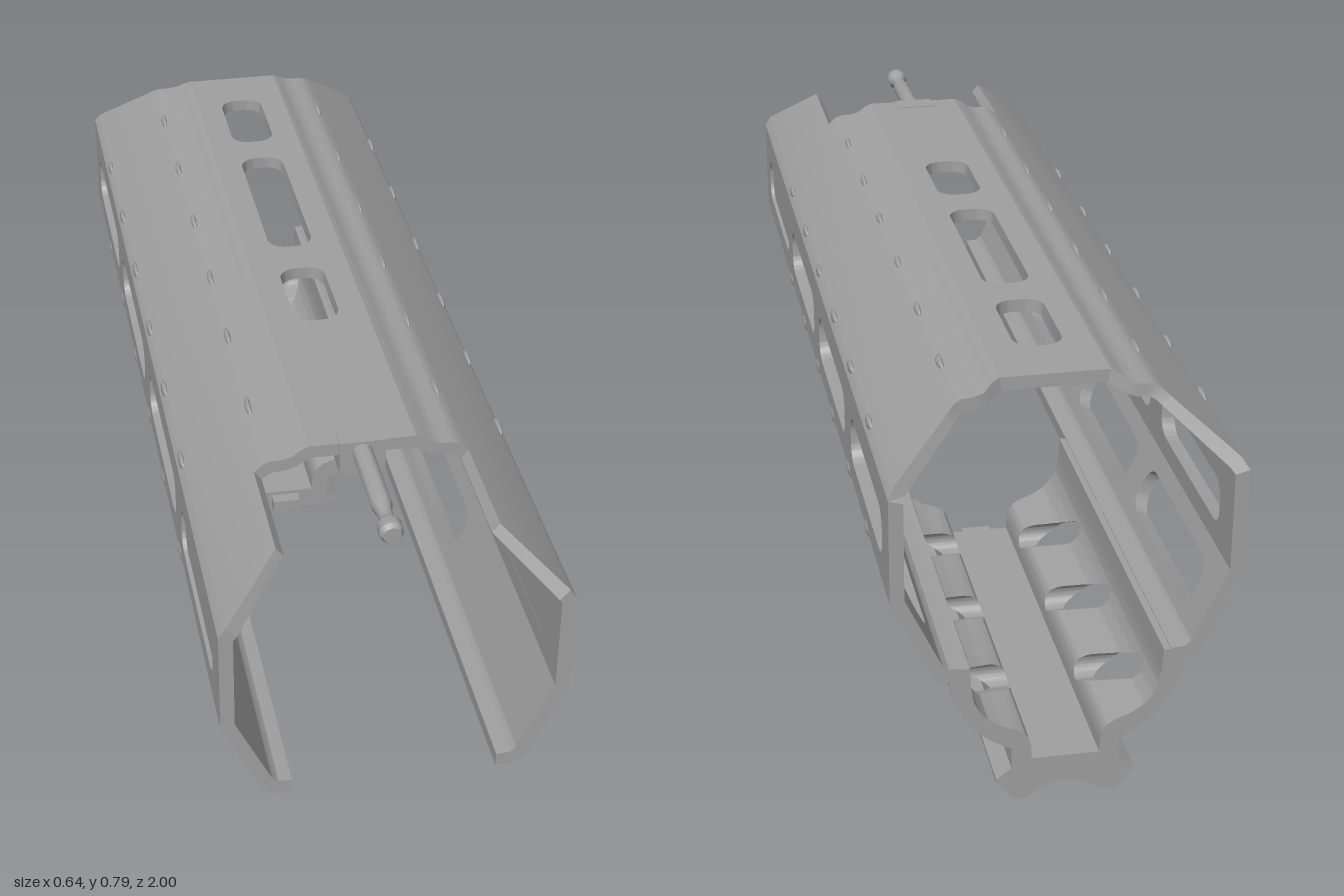
import * as THREE from 'three';
import { mergeGeometries, toCreasedNormals } from 'three/addons/utils/BufferGeometryUtils.js';

const lerp = THREE.MathUtils.lerp;

// Rounded slot outline in (z, s) panel coordinates
function slotPath(z0, z1, s0, s1) {
  const r = Math.min(0.036, (s1 - s0) / 2.2), h = Math.PI / 2;
  const p = new THREE.Path();
  p.absarc(z1 - r, s1 - r, r, 0, h);
  p.absarc(z0 + r, s1 - r, r, h, 2 * h);
  p.absarc(z0 + r, s0 + r, r, 2 * h, 3 * h);
  p.absarc(z1 - r, s0 + r, r, 3 * h, 4 * h);
  p.closePath();
  return p;
}

// Wall strip between two section points [outerX, outerY, innerX, innerY].
// za and zb are the [back, front] ends at each point; t runs inner 0 to outer 1.
function panel(a, b, za, zb, { slots = [], mirror = false, t0 = 0, t1 = 1 } = {}) {
  const L = Math.hypot(b[0] - a[0], b[1] - a[1]);
  const shape = new THREE.Shape([[za[0], 0], [za[1], 0], [zb[1], L], [zb[0], L]]
    .map(p => new THREE.Vector2(...p)));
  slots.forEach(([z0, z1, s0, s1]) => shape.holes.push(slotPath(z0, z1, s0 * L, s1 * L)));
  const g = new THREE.ExtrudeGeometry(shape, { depth: 1, bevelEnabled: false, curveSegments: 5 });
  const p = g.attributes.position;
  for (let i = 0; i < p.count; i++) {
    const z = p.getX(i), v = p.getY(i) / L, t = lerp(t0, t1, p.getZ(i));
    const x = lerp(lerp(a[2], a[0], t), lerp(b[2], b[0], t), v);
    const y = lerp(lerp(a[3], a[1], t), lerp(b[3], b[1], t), v);
    p.setXYZ(i, mirror ? -x : x, y, z);
  }
  if (mirror) { // restore the corner order
    for (let i = 0; i < p.count; i += 3) {
      const q = [p.getX(i + 1), p.getY(i + 1), p.getZ(i + 1)];
      p.setXYZ(i + 1, p.getX(i + 2), p.getY(i + 2), p.getZ(i + 2));
      p.setXYZ(i + 2, ...q);
    }
  }
  g.deleteAttribute('uv');
  return g;
}

// Solid with a constant section along z
function bar(points, z0, z1) {
  const s = new THREE.Shape(points.map(p => new THREE.Vector2(...p)));
  return new THREE.ExtrudeGeometry(s, { depth: z1 - z0, bevelEnabled: false }).translate(0, 0, z0);
}
const mirrored = half => [...half, ...half.map(([x, y]) => [-x, y]).reverse()];

// Sloped rear end of the upper shell
const back = y => -1 + Math.max(0, y - 0.64) * 0.966;

// Row z-limits of the lower shell at a height, around three slanted slots
function lowerRow(y) {
  const row = [-1];
  for (let k = 2; k >= 0; k--) {
    const A = [-0.285 - k * 0.256, 0.134], B = [-0.385 - k * 0.256, 0.192], r = 0.023;
    let lo = Infinity, hi = -Infinity;
    for (let i = 0; i <= 200; i++) {
      const z = B[0] - 0.04 + i * 0.0009;
      const dz = B[0] - A[0], dy = B[1] - A[1];
      const f = THREE.MathUtils.clamp(((z - A[0]) * dz + (y - A[1]) * dy) / (dz * dz + dy * dy), 0, 1);
      if (Math.hypot(z - A[0] - f * dz, y - A[1] - f * dy) <= r) { lo = Math.min(lo, z); hi = Math.max(hi, z); }
    }
    if (lo > hi) lo = hi = y < 0.16 ? A[0] : B[0];
    row.push(lo, hi);
  }
  return [...row, -0.15];
}

export function createModel() {
  const group = new THREE.Group();
  const metal = new THREE.MeshStandardMaterial({ color: 0xa0a0a0 });
  metal.name = 'grey metal';
  const add = (name, geos, crease = 0.5) => {
    const list = [].concat(geos).map(g => {
      const n = g.index ? g.toNonIndexed() : g;
      n.deleteAttribute('uv');
      n.clearGroups();
      return n;
    });
    const mesh = new THREE.Mesh(toCreasedNormals(mergeGeometries(list), crease), metal);
    mesh.name = name;
    group.add(mesh);
  };

  // Top panel with three slots
  const topEnds = [back(0.785), 0.67];
  add('topPanel', panel([-0.1, 0.785, -0.095, 0.76], [0.1, 0.785, 0.095, 0.76], topEnds, topEnds, {
    slots: [[-0.74, -0.53, 0.27, 0.73], [-0.45, -0.05, 0.27, 0.73], [0.04, 0.245, 0.27, 0.73]],
  }));

  // Section points, from the top edge down to the lower lip
  const shoulder = [[0.1, 0.785, 0.095, 0.76], [0.115, 0.778, 0.11, 0.752], [0.13, 0.766, 0.125, 0.743],
    [0.15, 0.762, 0.143, 0.738], [0.17, 0.761, 0.163, 0.737], [0.183, 0.756, 0.174, 0.733], [0.2, 0.742, 0.186, 0.724]];
  const upper = [shoulder[6], [0.305, 0.657, 0.287, 0.636], [0.318, 0.637, 0.292, 0.63]];
  const side = [upper[2], [0.318, 0.435, 0.292, 0.44]];
  const lower = [side[1], [0.25, 0.29, 0.227, 0.302]];
  const lip = [lower[1], [0.24, 0.273, 0.222, 0.296], [0.225, 0.264, 0.214, 0.291], [0.19, 0.262, 0.19, 0.29]];

  const long = [[-0.92, -0.525], [-0.44, -0.045], [0.04, 0.44]];
  const rows = (zs, s0, s1) => zs.map(([a, b]) => [a, b, s0, s1]);

  // Lower shell heights: [y, outerX, innerX]
  const shell = [[0.288, 0.215, 0.177], [0.256, 0.214, 0.175], [0.235, 0.209, 0.173], [0.215, 0.203, 0.169],
    [0.195, 0.193, 0.159], [0.175, 0.181, 0.143], [0.16, 0.169, 0.118], [0.15, 0.16, 0.092], [0.14, 0.149, 0.076],
    [0.13, 0.136, 0.069], [0.12, 0.119, 0.066], [0.11, 0.1, 0.064], [0.083, 0.1, 0.0625]];

  for (const mirror of [false, true]) {
    const tag = mirror ? 'right' : 'left';
    const ends = (p, front) => [back(p[1]), front];
    const strips = (pts, front) => pts.slice(1).map((b, i) =>
      panel(pts[i], b, ends(pts[i], front), ends(b, front), { mirror }));

    add(tag + 'Shoulder', strips(shoulder, 0.67));
    add(tag + 'UpperPanel', [
      panel(upper[0], upper[1], ends(upper[0], 0.9), ends(upper[1], 1), {
        mirror, slots: rows([[-0.735, -0.53], [-0.445, -0.05], [0.04, 0.43]], 0.05, 0.77),
      }),
      panel(upper[1], upper[2], ends(upper[1], 1), ends(upper[2], 1), { mirror })]);
    // Side wall, whose front slot is a closed pocket
    add(tag + 'SidePanel', panel(side[0], side[1], [-1, 1], [-1, 1], {
      mirror, slots: rows([...long, [0.52, 0.92]], 0.305, 0.775),
    }));
    add(tag + 'PocketFloor', panel([0.318, 0.59, 0.292, 0.59], [0.318, 0.465, 0.292, 0.465],
      [0.5, 0.94], [0.5, 0.94], { mirror, t0: 0.02, t1: 0.7 }));
    add(tag + 'LowerPanel', panel(lower[0], lower[1], [-1, 1], [-1, 1], { mirror, slots: rows(long, 0.24, 0.82) }));
    add(tag + 'Lip', strips(lip, 1));

    // Curved lower shell, built in thin bands around the slanted slots
    const bands = [];
    for (let i = 0; i + 1 < shell.length; i++) {
      for (let k = 0; k < 4; k++) {
        const at = f => {
          const [y, xo, xi] = shell[i].map((v, j) => lerp(v, shell[i + 1][j], f));
          return [xo, y, xi, y];
        };
        const a = at(k / 4), b = at((k + 1) / 4), ra = lowerRow(a[1]), rb = lowerRow(b[1]);
        for (let j = 0; j < ra.length; j += 2) {
          bands.push(panel(a, b, [ra[j], ra[j + 1]], [rb[j], rb[j + 1]], { mirror }));
        }
      }
    }
    add(tag + 'LowerShell', bands, 0.6);

    // Shallow marks along the panel edges
    const marks = [];
    for (const [x, y] of [[0.18, 0.755], [0.309, 0.648], [0.315, 0.435]]) {
      for (const z of [0.48, 0.23, 0, -0.24, -0.48, -0.72]) {
        marks.push(new THREE.SphereGeometry(1, 10, 6).scale(0.006, 0.014, 0.03)
          .translate(mirror ? -x : x, y, z));
      }
    }
    add(tag + 'EdgeMarks', marks, 1);
  }

  // Bottom rail with cross teeth hollowed along the middle
  add('railBody', bar(mirrored([[0.1, 0.084], [0.1, 0.068], [0.128, 0.046], [0.128, 0.038]]), -1, -0.15));
  const tooth = mirrored([[0.128, 0.039], [0.1, 0.004], [0.094, 0], [0.07, 0], [0.052, 0.014], [0.03, 0.025], [0.01, 0.03]]);
  const teeth = [0, 1, 2, 3, 4].map(i => bar(tooth, -0.268 - i * 0.1215, -0.214 - i * 0.1215));
  add('railTeeth', [...teeth, bar(tooth, -1, -0.82)]);
  add('railStop', bar(mirrored([[0.02, 0.076], [0.03, 0.076], [0.03, 0.047]]), -0.15, -0.122));

  // Front block and pin
  add('pinBlock', bar(mirrored([[0.043, 0.787], [0.043, 0.725], [0.03, 0.713]]), 0.625, 0.675));
  const profile = [[0, 0.67], [0.019, 0.67], [0.019, 0.84], [0.014, 0.86], [0.014, 0.885], [0.022, 0.9],
    [0.022, 0.92], [0.016, 0.93], [0, 0.93]].map(p => new THREE.Vector2(...p));
  add('pin', new THREE.LatheGeometry(profile, 20).rotateX(Math.PI / 2).translate(0, 0.764, 0));

  return group;
}
